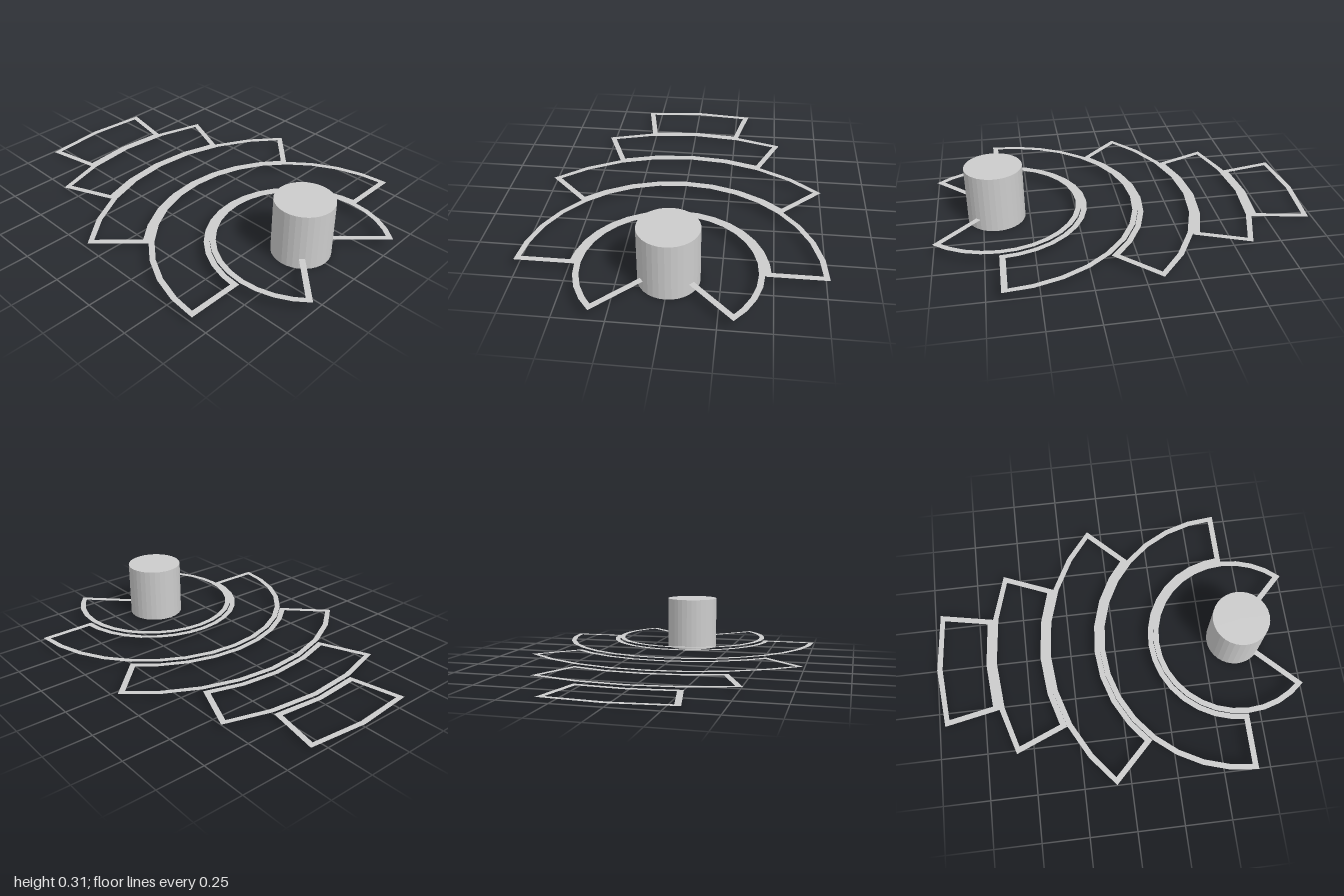
import * as THREE from 'three';

const S = 0.305;             // spacing between rings
const W = 0.03;              // frame strip width
const CZ = 0.677;            // common centre of all rings
const STEP = Math.PI / 16;   // one arc segment

const material = new THREE.MeshStandardMaterial({ color: 0xcccccc, flatShading: true, side: THREE.DoubleSide });

// Arc points around the centre, measured from the back (+y in the shape plane)
function arc(radius, halfAngle, segments, inset = 0) {
  const points = [];
  for (let i = 0; i <= segments; i++) {
    let a = -halfAngle + (2 * halfAngle * i) / segments;
    if (i === 0) a += inset;
    if (i === segments) a -= inset;
    points.push(new THREE.Vector2(Math.sin(a) * radius, Math.cos(a) * radius));
  }
  return points;
}

// Flat outline of a ring sector: outer border with a parallel inset hole
function sectorFrame(inner, outer, halfAngle) {
  const n = Math.round((2 * halfAngle) / STEP);
  const holeOuter = outer - W, holeInner = inner + W;
  const border = arc(outer, halfAngle, n);
  const hole = arc(holeOuter, halfAngle, n, Math.asin(W / holeOuter));
  if (inner > 0) {
    border.push(...arc(inner, halfAngle, n).reverse());
    hole.push(...arc(holeInner, halfAngle, n, Math.asin(W / holeInner)).reverse());
  } else {
    border.push(new THREE.Vector2(0, 0));
    hole.push(new THREE.Vector2(0, W / Math.sin(halfAngle)));
  }
  const shape = new THREE.Shape(border);
  shape.holes.push(new THREE.Path(hole));
  return new THREE.ShapeGeometry(shape).rotateX(-Math.PI / 2);
}

export function createModel() {
  const group = new THREE.Group();

  // Central post
  const post = new THREE.Mesh(new THREE.CylinderGeometry(S / 2, S / 2, S, 32), material);
  post.name = 'centralPost';
  post.position.set(0, S / 2, CZ);
  group.add(post);

  // Sector frames, narrowing and stepping down towards the back
  [135, 90, 45, 22.5, 11.25].forEach((degrees, i) => {
    const inner = i === 0 ? 0 : (i + 0.5) * S;
    const frame = new THREE.Mesh(sectorFrame(inner, (i + 1.5) * S, THREE.MathUtils.degToRad(degrees)), material);
    frame.name = `sectorFrame${i + 1}`;
    frame.position.set(0, 0.061 - 0.0108 * i, CZ);
    group.add(frame);
  });

  return group;
}
